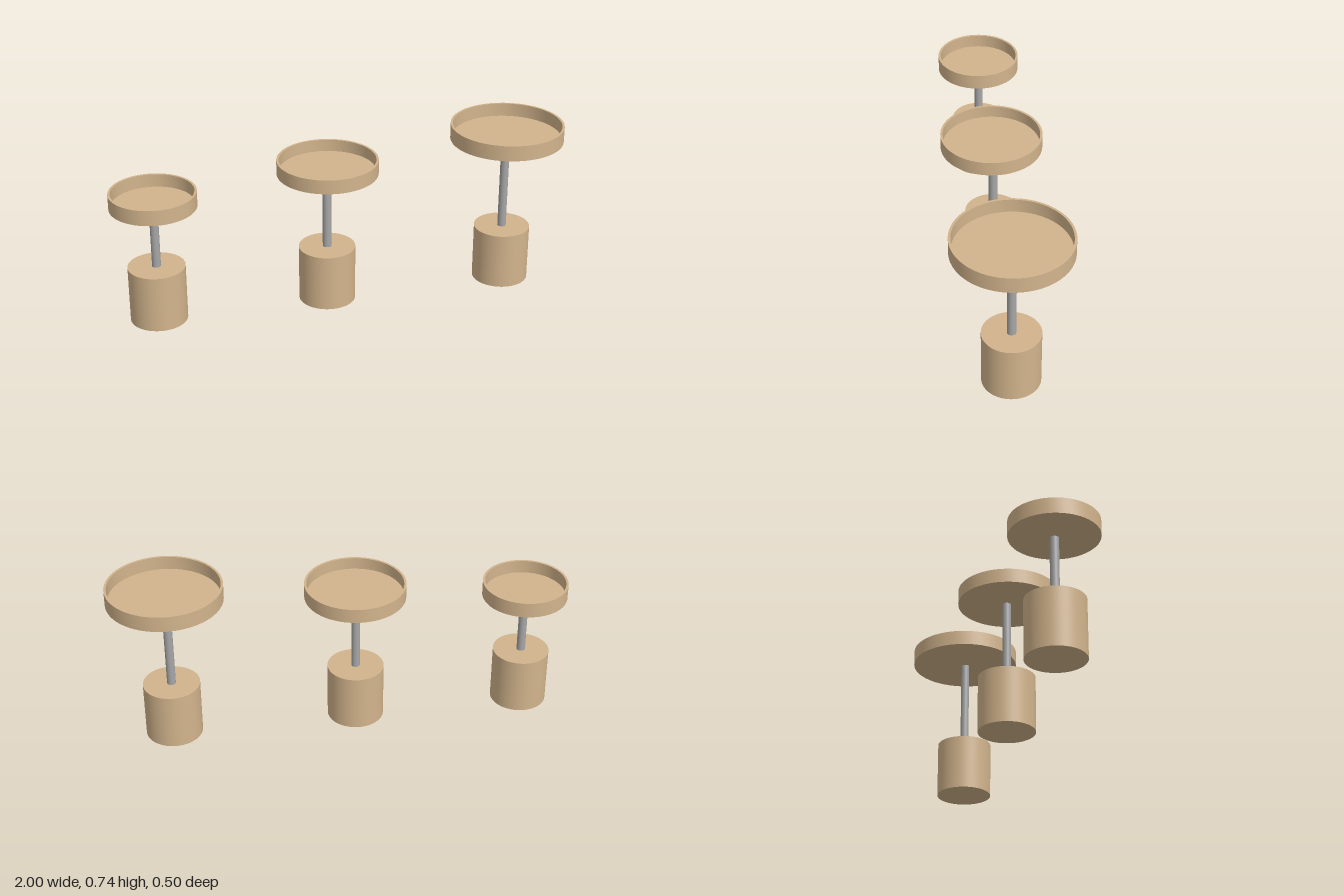
import * as THREE from 'three';
import { toCreasedNormals } from 'three/addons/utils/BufferGeometryUtils.js';

const BASE_RADIUS = 0.124, BASE_HEIGHT = 0.252, ROD_RADIUS = 0.019;
const WALL = 0.01, FLOOR = 0.01, SEGMENTS = 64;

// Open round tray with a thin rim, standing on y = 0
function trayGeometry(radius, height) {
  const inner = radius - WALL;
  const profile = [
    [0, 0], [radius, 0], [radius, height], [inner, height], [inner, FLOOR], [0, FLOOR],
  ].map(([x, y]) => new THREE.Vector2(x, y));
  return toCreasedNormals(new THREE.LatheGeometry(profile, SEGMENTS), 0.6);
}

// Solid upright cylinder between two heights
function column(name, radius, bottom, top, material) {
  const mesh = new THREE.Mesh(
    new THREE.CylinderGeometry(radius, radius, top - bottom, SEGMENTS), material);
  mesh.name = name;
  mesh.position.y = (bottom + top) / 2;
  return mesh;
}

export function createModel() {
  const tan = new THREE.MeshStandardMaterial({ color: 0xd2b48c });
  tan.name = 'tan';
  const steel = new THREE.MeshStandardMaterial({ color: 0xa6a6a6 });
  steel.name = 'steel grey';

  const stands = [
    { name: 'smallStand', x: -0.815, rodTop: 0.527, radius: 0.186, bottom: 0.533, top: 0.601, dx: 0, dz: 0.001 },
    { name: 'mediumStand', x: -0.063, rodTop: 0.605, radius: 0.219, bottom: 0.605, top: 0.668, dx: 0.002, dz: 0.007 },
    { name: 'largeStand', x: 0.748, rodTop: 0.668, radius: 0.248, bottom: 0.673, top: 0.742, dx: 0.004, dz: 0 },
  ];

  const model = new THREE.Group();
  model.name = 'trayStands';
  for (const s of stands) {
    const stand = new THREE.Group();
    stand.name = s.name;
    stand.position.x = s.x;

    const tray = new THREE.Mesh(trayGeometry(s.radius, s.top - s.bottom), tan);
    tray.name = 'tray';
    tray.position.set(s.dx, s.bottom, s.dz);

    stand.add(
      column('base', BASE_RADIUS, 0, BASE_HEIGHT, tan),
      column('rod', ROD_RADIUS, BASE_HEIGHT - 0.02, s.rodTop, steel),
      tray);
    model.add(stand);
  }
  return model;
}
